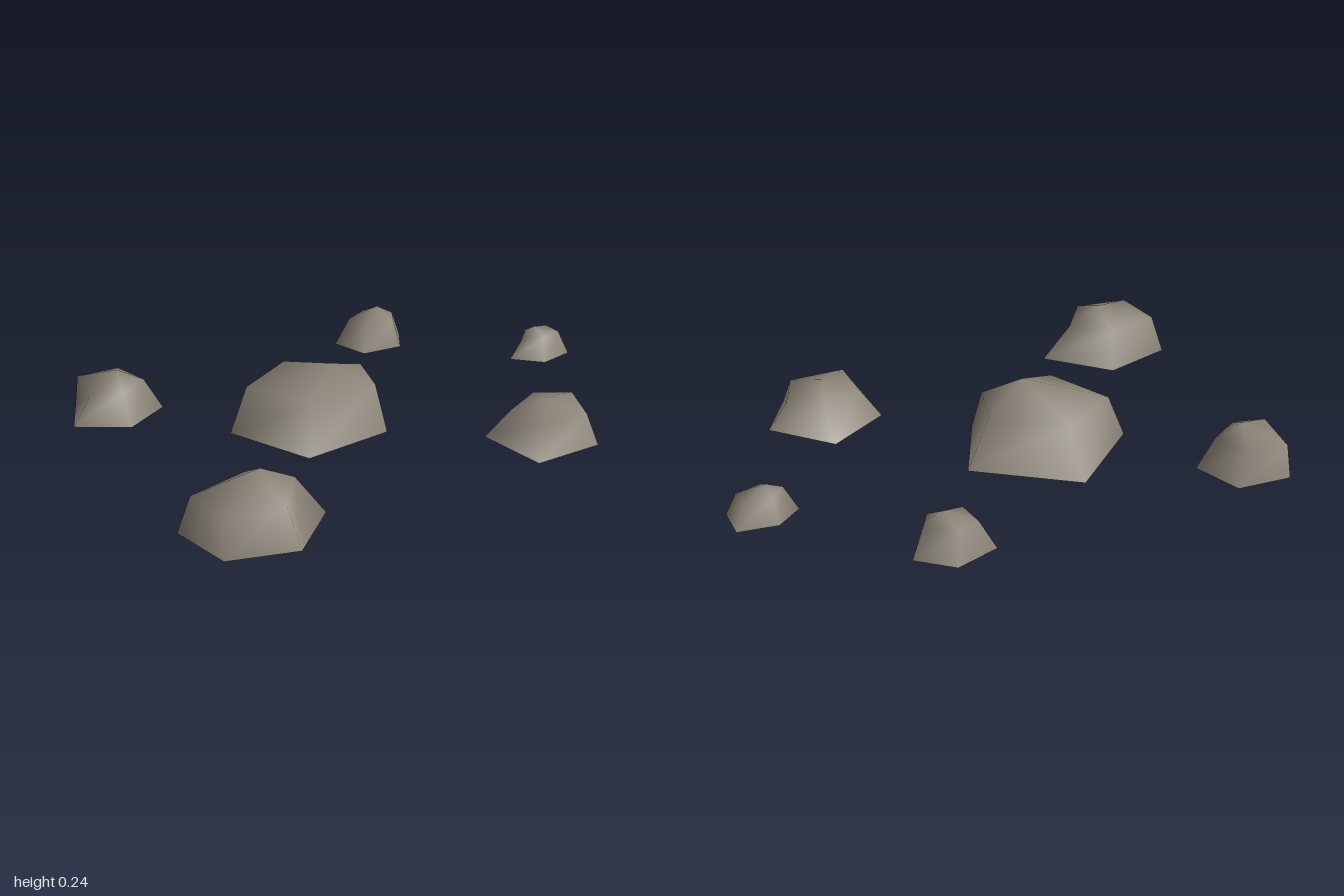
import * as THREE from 'three';

// Each rock: ground outline and shoulder outline as [x, z] (clockwise from above),
// the shoulder height, and the peak [x, y, z].
const rocks = [
  { name: 'largeCentreRock', shoulder: 0.165, peak: [-0.13, 0.24, -0.02],
    base: [[-0.24, -0.41], [0.13, -0.21], [0.02, 0.12], [-0.32, 0.21], [-0.5, -0.1]],
    ring: [[-0.22, -0.28], [0.03, -0.14], [0, 0.06], [-0.29, 0.125], [-0.43, -0.11]] },
  { name: 'frontRightRock', shoulder: 0.14, peak: [-0.645, 0.205, 0.6],
    base: [[-0.65, 0.415], [-0.42, 0.6], [-0.59, 0.81], [-0.835, 0.775], [-0.91, 0.54]],
    ring: [[-0.66, 0.48], [-0.52, 0.58], [-0.62, 0.765], [-0.825, 0.768], [-0.87, 0.57]] },
  { name: 'frontLeftRock', shoulder: 0.107, peak: [0.53, 0.145, 0.37],
    base: [[0.535, 0.12], [0.75, 0.3], [0.655, 0.525], [0.39, 0.57], [0.32, 0.3]],
    ring: [[0.55, 0.235], [0.68, 0.29], [0.63, 0.48], [0.42, 0.515], [0.4, 0.34]] },
  { name: 'backRightRock', shoulder: 0.12, peak: [-0.81, 0.17, -0.44],
    base: [[-0.94, -0.58], [-0.735, -0.6], [-0.65, -0.42], [-0.81, -0.29], [-1, -0.38]],
    ring: [[-0.93, -0.56], [-0.77, -0.575], [-0.715, -0.43], [-0.82, -0.34], [-0.94, -0.35]] },
  { name: 'backLeftRock', shoulder: 0.107, peak: [0.35, 0.15, -0.7],
    base: [[0.335, -0.815], [0.465, -0.73], [0.41, -0.6], [0.245, -0.59], [0.18, -0.735]],
    ring: [[0.32, -0.78], [0.425, -0.715], [0.39, -0.63], [0.265, -0.62], [0.24, -0.725]] },
  { name: 'smallLeftRock', shoulder: 0.09, peak: [0.86, 0.12, -0.31],
    base: [[0.75, -0.3], [0.835, -0.39], [0.98, -0.395], [0.995, -0.265], [0.86, -0.215]],
    ring: [[0.8, -0.29], [0.845, -0.36], [0.95, -0.37], [0.96, -0.29], [0.87, -0.25]] },
];

// Five-sided dome, open underneath, with smooth normals
function rockGeometry({ base, ring, shoulder, peak }) {
  const n = base.length;
  const positions = [];
  base.forEach(([x, z]) => positions.push(x, 0, z));
  ring.forEach(([x, z]) => positions.push(x, shoulder, z));
  positions.push(...peak);

  const index = [];
  for (let i = 0; i < n; i++) {
    const j = (i + 1) % n;
    index.push(j, i, n + i, j, n + i, n + j); // side
    index.push(n + j, n + i, 2 * n);          // cap
  }
  const geometry = new THREE.BufferGeometry();
  geometry.setAttribute('position', new THREE.Float32BufferAttribute(positions, 3));
  geometry.setIndex(index);
  geometry.computeVertexNormals();
  return geometry;
}

export function createModel() {
  const group = new THREE.Group();
  group.name = 'rockCluster';
  const stone = new THREE.MeshStandardMaterial({ color: 0x8a8377, side: THREE.DoubleSide });
  stone.name = 'stone';

  for (const rock of rocks) {
    const mesh = new THREE.Mesh(rockGeometry(rock), stone);
    mesh.name = rock.name;
    group.add(mesh);
  }
  return group;
}
